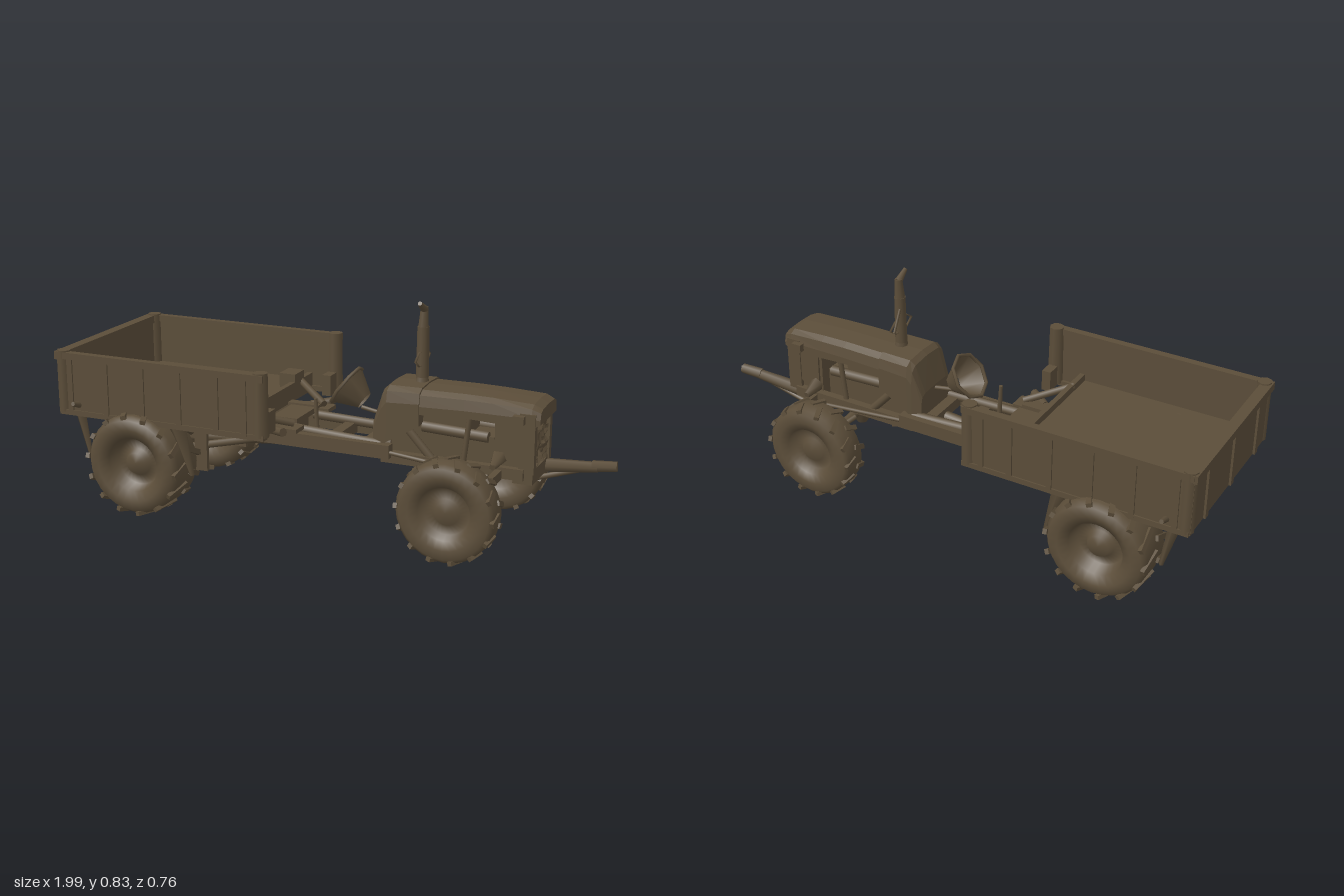
import * as THREE from 'three';

const brown = new THREE.MeshStandardMaterial({ color: 0x5b4d39, side: THREE.DoubleSide });
brown.name = 'mud brown';
const V = (x, y, z) => new THREE.Vector3(x, y, z);

function add(parent, name, geo, x = 0, y = 0, z = 0) {
  const m = new THREE.Mesh(geo, brown);
  m.name = name;
  m.position.set(x, y, z);
  parent.add(m);
  return m;
}
// Box given by its limits
function box(parent, name, x0, x1, y0, y1, z0, z1) {
  return add(parent, name, new THREE.BoxGeometry(x1 - x0, y1 - y0, z1 - z0),
    (x0 + x1) / 2, (y0 + y1) / 2, (z0 + z1) / 2);
}
// Round rod between two points
function rod(parent, name, a, b, r0, r1 = r0, sides = 8) {
  const d = b.clone().sub(a);
  const m = add(parent, name, new THREE.CylinderGeometry(r1, r0, d.length(), sides));
  m.position.copy(a).add(b).multiplyScalar(0.5);
  m.quaternion.setFromUnitVectors(V(0, 1, 0), d.normalize());
  return m;
}
// Arched body lofted along x from [x, halfWidth, top, shoulder, bottom]
function loft(stations) {
  const pos = [], idx = [], n = 9;
  for (const [x, w, top, sh, bot] of stations) {
    pos.push(x, bot, w);
    for (let j = 0; j < n - 2; j++) {
      const a = (j / (n - 3)) * Math.PI, c = Math.cos(a), s = Math.sin(a);
      pos.push(x, sh + (top - sh) * Math.pow(Math.max(s, 0), 0.6), w * Math.sign(c) * Math.pow(Math.abs(c), 0.5));
    }
    pos.push(x, bot, -w);
  }
  for (let i = 0; i < stations.length - 1; i++)
    for (let j = 0; j < n - 1; j++) {
      const a = i * n + j, b = a + n;
      idx.push(a, b, a + 1, b, b + 1, a + 1);
    }
  const last = (stations.length - 1) * n;
  for (let j = 1; j < n - 1; j++) idx.push(0, j, j + 1, last, last + j + 1, last + j);
  const g = new THREE.BufferGeometry();
  g.setAttribute('position', new THREE.Float32BufferAttribute(pos, 3));
  g.setIndex(idx);
  const flat = g.toNonIndexed();
  flat.computeVertexNormals();
  return flat;
}
// Tyre with dished hub and shallow chevron lugs; axle along z, outside towards +z
function wheel(name, r, w) {
  const g = new THREE.Group();
  g.name = name;
  const h = w / 2;
  const pts = [[0.001, h * 0.62], [r * 0.2, h * 0.6], [r * 0.26, h * 0.35], [r * 0.45, h * 0.3], [r * 0.52, h * 0.8],
    [r * 0.7, h], [r * 0.88, h * 0.94], [r * 0.96, h * 0.7], [r * 0.98, 0], [r * 0.96, -h * 0.7], [r * 0.88, -h * 0.94],
    [r * 0.7, -h], [r * 0.52, -h * 0.8], [r * 0.4, -h * 0.3], [0.001, -h * 0.3]]
    .map(([a, b]) => new THREE.Vector2(a, b));
  add(g, 'tyre', new THREE.LatheGeometry(pts.reverse(), 28).rotateX(Math.PI / 2));
  const count = 14;
  for (let i = 0; i < count; i++)
    for (const s of [-1, 1]) {
      const pivot = new THREE.Group();
      pivot.name = 'lug';
      pivot.rotation.z = ((i + (s > 0 ? 0.5 : 0)) / count) * Math.PI * 2;
      const lug = add(pivot, 'lug', new THREE.BoxGeometry(r * 0.1, r * 0.08, h * 1.02), 0, r * 0.955, s * h * 0.52);
      lug.rotation.set(s * 0.1, s * 0.4, 0);
      g.add(pivot);
    }
  return g;
}

export function createModel() {
  const model = new THREE.Group();
  model.name = 'tractor truck';
  const part = (name) => {
    const g = new THREE.Group();
    g.name = name;
    model.add(g);
    return g;
  };

  // Wheels
  for (const s of [1, -1]) {
    const rear = wheel('rearWheel', 0.193, 0.188);
    rear.position.set(-0.668, 0.208, s * 0.282);
    const front = wheel('frontWheel', 0.182, 0.112);
    front.position.set(0.515, 0.188, s * 0.28);
    if (s < 0) rear.rotation.y = front.rotation.y = Math.PI;
    model.add(rear, front);
  }

  // Cargo bed, open towards the driver
  const bed = part('cargoBed');
  box(bed, 'bedFloor', -0.97, -0.27, 0.385, 0.404, -0.33, 0.33);
  box(bed, 'tailBoard', -0.985, -0.96, 0.37, 0.585, -0.33, 0.33);
  box(bed, 'tailRail', -0.995, -0.955, 0.565, 0.595, -0.34, 0.34);
  box(bed, 'frontSill', -0.285, -0.265, 0.36, 0.43, -0.33, 0.33);
  box(bed, 'toolBox', -0.33, -0.265, 0.36, 0.46, -0.245, -0.165);
  for (const z of [-0.22, 0, 0.22]) box(bed, 'tailRib', -0.993, -0.98, 0.37, 0.58, z - 0.012, z + 0.012);
  for (const s of [1, -1]) {
    const side = new THREE.Group();
    side.name = 'bedSide';
    side.scale.z = s;
    bed.add(side);
    box(side, 'sidePanel', -0.985, -0.15, 0.365, 0.585, 0.32, 0.337);
    box(side, 'topRail', -0.985, -0.145, 0.57, 0.595, 0.315, 0.343);
    box(side, 'bottomRail', -0.98, -0.145, 0.36, 0.38, 0.31, 0.342);
    for (const x of [-0.93, -0.78, -0.63, -0.48, -0.33, -0.22])
      box(side, 'sideRib', x - 0.01, x + 0.01, 0.37, 0.58, 0.33, 0.343);
    rod(side, 'frontPost', V(-0.165, 0.37, 0.317), V(-0.165, 0.6, 0.317), 0.03, 0.027);
    rod(side, 'rearPost', V(-0.965, 0.37, 0.32), V(-0.965, 0.6, 0.32), 0.026);
    box(side, 'postFoot', -0.185, -0.15, 0.37, 0.45, 0.235, 0.29);
    rod(side, 'reflector', V(-0.9, 0.4, 0.33), V(-0.9, 0.415, 0.375), 0.012, 0.008);
    // Mud flaps around the rear wheel
    rod(side, 'rearFlap', V(-0.92, 0.37, 0.3), V(-0.88, 0.19, 0.3), 0.022, 0.008, 4);
    rod(side, 'frontFlap', V(-0.51, 0.36, 0.3), V(-0.455, 0.18, 0.3), 0.035, 0.01, 4);
    rod(side, 'bedBrace', V(-0.28, 0.42, 0.24), V(-0.13, 0.37, 0.13), 0.014);
  }
  for (const x of [-0.9, -0.45, -0.3]) box(bed, 'crossMember', x - 0.02, x + 0.02, 0.355, 0.387, -0.31, 0.31);

  // Chassis and rear axle
  const chassis = part('chassis');
  for (const s of [1, -1]) {
    box(chassis, 'frameRail', -0.46, 0.24, 0.285, 0.335, s * 0.12 - 0.018, s * 0.12 + 0.018);
    box(chassis, 'rearRail', -0.94, -0.14, 0.33, 0.37, s * 0.12 - 0.018, s * 0.12 + 0.018);
    rod(chassis, 'sideTube', V(-0.15, 0.34, s * 0.09), V(0.2, 0.325, s * 0.1), 0.018);
    rod(chassis, 'radiusArm', V(-0.64, 0.21, s * 0.15), V(-0.2, 0.31, s * 0.12), 0.014);
    box(chassis, 'hangerPlate', -0.52, -0.47, 0.15, 0.3, s * 0.155 - 0.008, s * 0.155 + 0.008);
    box(chassis, 'leafSpring', -0.84, -0.5, 0.27, 0.3, s * 0.14 - 0.015, s * 0.14 + 0.015);
    rod(chassis, 'springHanger', V(-0.84, 0.285, s * 0.14), V(-0.88, 0.35, s * 0.13), 0.012);
    box(chassis, 'footStep', -0.22, -0.1, 0.345, 0.36, s * 0.14 - 0.035, s * 0.14 + 0.035);
    rod(chassis, 'pedal', V(-0.2, 0.35, s * 0.17), V(-0.13, 0.36, s * 0.215), 0.016);
  }
  box(chassis, 'seatPan', -0.24, -0.14, 0.35, 0.37, -0.08, 0.08);
  for (const x of [-0.2, 0.0, 0.14]) box(chassis, 'frameCross', x - 0.02, x + 0.02, 0.29, 0.33, -0.12, 0.12);
  rod(chassis, 'gearLever', V(-0.07, 0.34, 0.06), V(-0.075, 0.45, 0.06), 0.009, 0.007);
  rod(chassis, 'driveShaft', V(-0.66, 0.22, 0), V(0.2, 0.3, 0), 0.022);
  rod(chassis, 'rearAxle', V(-0.668, 0.208, -0.24), V(-0.668, 0.208, 0.24), 0.026);
  add(chassis, 'rearDifferential', new THREE.SphereGeometry(0.06, 10, 8), -0.668, 0.213, 0);

  // Steering wheel: a funnel-shaped rim and boss tilted towards the driver
  const steer = part('steering');
  const rim = new THREE.Group();
  rim.name = 'steeringRim';
  rim.position.set(0.02, 0.495, 0);
  rim.rotation.z = 0.95;
  steer.add(rim);
  add(rim, 'rim', new THREE.TorusGeometry(0.084, 0.007, 6, 8).rotateX(Math.PI / 2));
  add(rim, 'boss', new THREE.CylinderGeometry(0.084, 0.035, 0.085, 8, 1, true), 0, -0.043, 0);
  rod(steer, 'column', V(0.08, 0.42, 0), V(0.19, 0.4, 0), 0.008);

  // Bonnet, cowl and engine
  const front = part('engineBay');
  add(front, 'bonnet', loft([[0.3, 0.108, 0.54, 0.48, 0.45], [0.5, 0.105, 0.542, 0.485, 0.46],
    [0.6, 0.104, 0.54, 0.485, 0.455], [0.74, 0.104, 0.533, 0.485, 0.45], [0.77, 0.098, 0.518, 0.48, 0.465]]));
  add(front, 'cowl', loft([[0.165, 0.1, 0.42, 0.38, 0.32], [0.2, 0.112, 0.53, 0.46, 0.32],
    [0.22, 0.115, 0.546, 0.485, 0.34], [0.34, 0.112, 0.546, 0.49, 0.41]]));
  box(front, 'engineBlock', 0.22, 0.6, 0.25, 0.39, -0.06, 0.06);
  box(front, 'cylinderHead', 0.3, 0.51, 0.37, 0.455, -0.065, 0.065);
  box(front, 'radiator', 0.61, 0.735, 0.29, 0.47, -0.09, 0.09);
  for (const s of [1, -1]) {
    box(front, 'grilleFrame', 0.7, 0.755, 0.29, 0.5, s * 0.092 - 0.013, s * 0.092 + 0.013);
    box(front, 'sideSkirt', 0.62, 0.72, 0.33, 0.46, s * 0.096 - 0.004, s * 0.096 + 0.004);
    box(front, 'bonnetLatch', 0.68, 0.72, 0.465, 0.495, s * 0.114 - 0.012, s * 0.114 + 0.012);
    rod(front, 'cowlStrut', V(0.26, 0.43, s * 0.095), V(0.39, 0.29, s * 0.095), 0.015);
    rod(front, 'frontStrut', V(0.52, 0.46, s * 0.095), V(0.5, 0.29, s * 0.095), 0.01);
    rod(front, 'manifold', V(0.34, 0.4, s * 0.065), V(0.58, 0.39, s * 0.065), 0.02);
    box(front, 'frontRail', 0.2, 0.72, 0.265, 0.305, s * 0.1 - 0.014, s * 0.1 + 0.014);
    rod(front, 'steeringRod', V(0.2, 0.31, s * 0.125), V(0.6, 0.27, s * 0.125), 0.008);
    // Front axle arms
    rod(front, 'axleArm', V(0.5, 0.215, s * 0.04), V(0.515, 0.19, s * 0.24), 0.017, 0.013);
    rod(front, 'axleBrace', V(0.46, 0.24, s * 0.1), V(0.515, 0.2, s * 0.22), 0.01);
    rod(front, 'headBracket', V(0.63, 0.335, s * 0.1), V(0.63, 0.32, s * 0.17), 0.028, 0.012, 5);
  }
  rod(front, 'frontDifferential', V(0.5, 0.245, 0), V(0.5, 0.16, 0), 0.065, 0.02, 8);
  box(front, 'frontCrossBar', 0.622, 0.645, 0.262, 0.296, -0.205, 0.205);
  box(front, 'bumperBlock', 0.68, 0.75, 0.25, 0.3, -0.085, 0.1);

  // Rough radiator core
  let seed = 7;
  const rand = () => (seed = (seed * 16807) % 2147483647) / 2147483647;
  const core = new THREE.PlaneGeometry(0.16, 0.19, 10, 12);
  const p = core.attributes.position;
  for (let i = 0; i < p.count; i++) p.setZ(i, rand() * 0.018);
  const rough = core.toNonIndexed();
  rough.computeVertexNormals();
  add(front, 'radiatorCore', rough.rotateY(Math.PI / 2), 0.736, 0.395, 0);

  // Exhaust stack with a bent tip and a wire guard at its foot
  const exhaust = part('exhaust');
  rod(exhaust, 'stackFoot', V(0.31, 0.53, 0), V(0.31, 0.57, 0), 0.028, 0.02);
  rod(exhaust, 'muffler', V(0.31, 0.56, 0), V(0.31, 0.74, -0.002), 0.023, 0.021, 10);
  rod(exhaust, 'upperPipe', V(0.31, 0.73, -0.002), V(0.313, 0.81, -0.004), 0.02, 0.014);
  rod(exhaust, 'bentTip', V(0.313, 0.8, -0.004), V(0.313, 0.83, 0.044), 0.015, 0.008);
  const guard = add(exhaust, 'wireGuard', new THREE.TorusGeometry(0.07, 0.005, 5, 6), 0.31, 0.628, 0);
  guard.rotation.y = Math.PI / 2;
  guard.scale.y = 0.4;
  rod(exhaust, 'guardPost', V(0.3, 0.7, -0.018), V(0.3, 0.62, -0.06), 0.005);

  // Tow bar ahead of the radiator
  const tow = part('towBar');
  rod(tow, 'towBeam', V(0.72, 0.268, -0.075), V(0.93, 0.285, -0.08), 0.026, 0.019, 6);
  rod(tow, 'towTip', V(0.91, 0.287, -0.08), V(0.995, 0.293, -0.088), 0.021, 0.019, 6);
  rod(tow, 'towStay', V(0.7, 0.215, -0.07), V(0.86, 0.265, -0.08), 0.01);

  return model;
}
